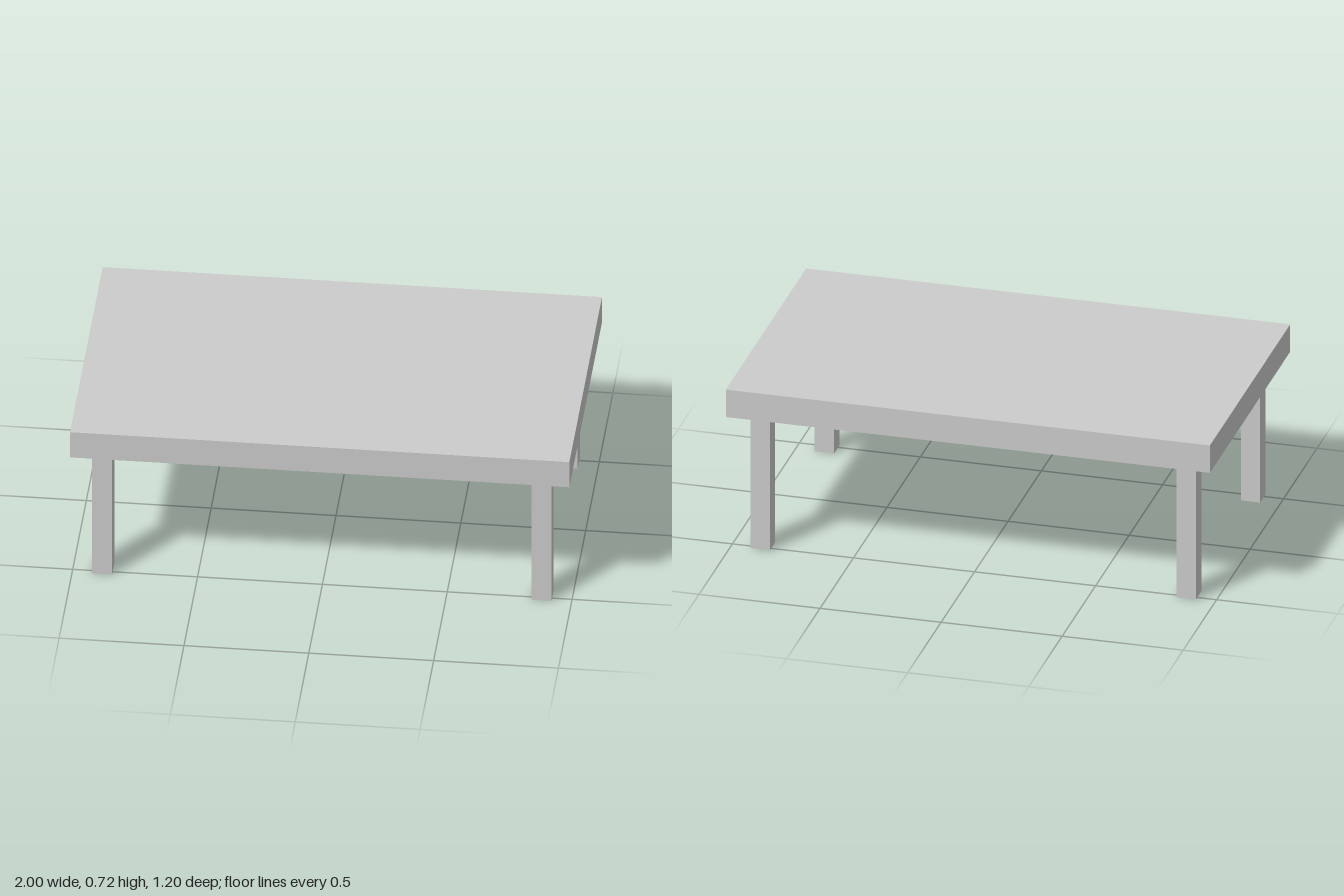
import * as THREE from 'three';

const TOP = { width: 2, height: 0.12, depth: 1.2 };
const LEG = { side: 0.08, height: 0.6, x: 0.88, z: 0.48 };

export function createModel() {
  const table = new THREE.Group();
  table.name = 'table';
  const material = new THREE.MeshStandardMaterial({ color: 0xcccccc });

  // Slab resting on the legs
  const top = new THREE.Mesh(new THREE.BoxGeometry(TOP.width, TOP.height, TOP.depth), material);
  top.name = 'tableTop';
  top.position.y = LEG.height + TOP.height / 2;
  table.add(top);

  // Four square legs, set in from the corners
  const legGeometry = new THREE.BoxGeometry(LEG.side, LEG.height, LEG.side);
  for (const sx of [-1, 1]) {
    for (const sz of [-1, 1]) {
      const leg = new THREE.Mesh(legGeometry, material);
      leg.name = (sz > 0 ? 'front' : 'back') + (sx > 0 ? 'Left' : 'Right') + 'Leg';
      leg.position.set(sx * LEG.x, LEG.height / 2, sz * LEG.z);
      table.add(leg);
    }
  }
  return table;
}
